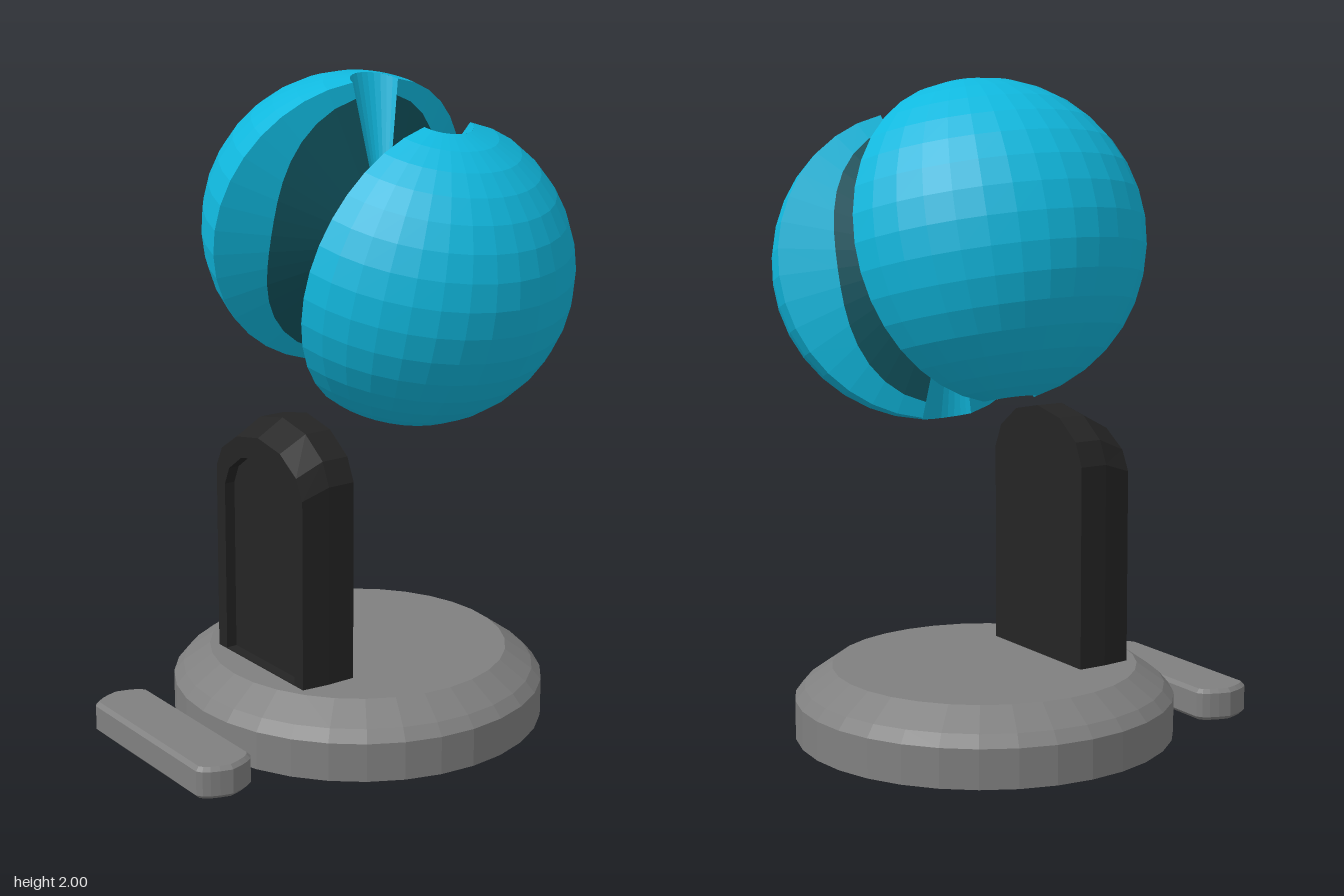
import * as THREE from 'three';

const mat = (name, color) => {
  const m = new THREE.MeshStandardMaterial({ color, side: THREE.DoubleSide });
  m.name = name;
  return m;
};

// Flat-shaded surface through a list of equally long rows of points
function loft(rows, closed = false) {
  const out = [];
  const n = rows[0].length;
  const tri = (a, b, c) => {
    const area = b.clone().sub(a).cross(c.clone().sub(a)).length();
    if (area > 1e-9) out.push(...a.toArray(), ...b.toArray(), ...c.toArray());
  };
  for (let i = 0; i < rows.length - 1; i++) {
    for (let j = 0; j < (closed ? n : n - 1); j++) {
      const k = (j + 1) % n;
      const [a, b, c, d] = [rows[i][j], rows[i][k], rows[i + 1][k], rows[i + 1][j]];
      tri(a, b, c);
      tri(a, c, d);
    }
  }
  const g = new THREE.BufferGeometry();
  g.setAttribute('position', new THREE.Float32BufferAttribute(out, 3));
  g.computeVertexNormals();
  return g;
}

function flat(geometry) {
  const g = geometry.index ? geometry.toNonIndexed() : geometry;
  g.computeVertexNormals();
  return g;
}

const range = (n, fn) => Array.from({ length: n + 1 }, (_, i) => fn(i / n));

// Half ball: a lune of a sphere, closed by faces running to one apex at the origin
function makeHalfBall(name, blue, dark) {
  const half = new THREE.Group();
  half.name = name;
  const R = 0.474, offset = 0.166;
  const pole = THREE.MathUtils.degToRad(10.5);
  const edge = THREE.MathUtils.degToRad(81);
  const point = (theta, phi) => new THREE.Vector3(
    offset + R * Math.sin(theta) * Math.cos(phi),
    R * Math.cos(theta),
    R * Math.sin(theta) * Math.sin(phi));
  const theta = (u) => pole + u * (Math.PI - 2 * pole);
  const phi = (v) => (2 * v - 1) * edge;
  const add = (part, geometry, material) => {
    const m = new THREE.Mesh(geometry, material);
    m.name = part;
    half.add(m);
  };

  add('dome', loft(range(16, (u) => range(16, (v) => point(theta(u), phi(v))))), blue);

  // cut faces: dark towards the apex, blue along the rim
  for (const s of [-1, 1]) {
    const rim = range(16, (u) => point(theta(u), s * edge));
    const inner = rim.map((p, i) => {
      const c = Math.cos(theta(i / 16));
      return p.clone().multiplyScalar(0.67 + 0.24 * c * c);
    });
    const apex = rim.map(() => new THREE.Vector3());
    add('cutRim', loft([rim, inner]), blue);
    add('cutCore', loft([inner, apex]), dark);
  }

  // conical grooves at both poles
  for (const t of [pole, Math.PI - pole]) {
    const ring = range(12, (v) => point(t, phi(v)));
    add('poleGroove', loft([ring, ring.map(() => new THREE.Vector3())]), blue);
  }
  return half;
}

// Outline of the arched post at depth z
function arch(halfWidth, bottom, spring, top, z) {
  const pts = [new THREE.Vector3(-halfWidth, bottom, z)];
  for (let i = 0; i <= 6; i++) {
    const a = Math.PI * (1 - i / 6);
    pts.push(new THREE.Vector3(halfWidth * Math.cos(a),
      spring + (top - spring) * Math.pow(Math.abs(Math.sin(a)), 1.15), z));
  }
  pts.push(new THREE.Vector3(halfWidth, bottom, z));
  return pts;
}
const capPoint = (row, y, z) => row.map(() => new THREE.Vector3(0, y, z));

export function createModel() {
  const model = new THREE.Group();
  model.name = 'splitBallStand';
  const blue = mat('bright blue', 0x10b8de);
  const dark = mat('dark teal', 0x11545f);
  const grey = mat('grey', 0x808080);
  const black = mat('black', 0x242424);
  const add = (name, geometry, material) => {
    const m = new THREE.Mesh(geometry, material);
    m.name = name;
    model.add(m);
    return m;
  };

  // round base with a bevelled shoulder
  const profile = [[0, 0], [0.585, 0], [0.585, 0.12], [0.555, 0.155], [0.47, 0.215], [0, 0.215]]
    .map(([x, y]) => new THREE.Vector2(x, y));
  add('base', flat(new THREE.LatheGeometry(profile, 32)), grey).position.z = -0.105;

  // front bar with bowed ends and bevelled edges
  const bar = new THREE.Shape();
  bar.moveTo(-0.285, -0.083);
  bar.lineTo(0.285, -0.083);
  bar.quadraticCurveTo(0.31, -0.075, 0.328, 0);
  bar.quadraticCurveTo(0.31, 0.075, 0.285, 0.083);
  bar.lineTo(-0.285, 0.083);
  bar.quadraticCurveTo(-0.31, 0.075, -0.328, 0);
  bar.quadraticCurveTo(-0.31, -0.075, -0.285, -0.083);
  const barGeo = new THREE.ExtrudeGeometry(bar, {
    depth: 0.076, bevelThickness: 0.012, bevelSize: 0.012, bevelSegments: 1, curveSegments: 4,
  });
  barGeo.rotateX(-Math.PI / 2);
  add('frontBar', flat(barGeo), grey).position.set(0, 0.012, 0.595);

  // arched post: back, sides, bevel, front frame and recessed panel
  const back = arch(0.24, 0.2, 0.84, 1.0, 0.09);
  const panel = arch(0.185, 0.218, 0.76, 0.885, 0.235);
  add('post', loft([
    capPoint(back, 0.55, 0.09),
    back,
    arch(0.24, 0.2, 0.84, 1.0, 0.18),
    arch(0.23, 0.2, 0.81, 0.95, 0.27),
    arch(0.185, 0.218, 0.76, 0.885, 0.27),
    panel,
    capPoint(panel, 0.55, 0.235),
  ], true), black);

  // the two half balls meet at their apexes, tilted about the depth axis
  const tilt = THREE.MathUtils.degToRad(-15);
  [['leftHalfBall', tilt], ['rightHalfBall', tilt + Math.PI]].forEach(([name, angle]) => {
    const half = makeHalfBall(name, blue, dark);
    half.position.set(0, 1.482, -0.204);
    half.rotation.z = angle;
    model.add(half);
  });

  return model;
}
